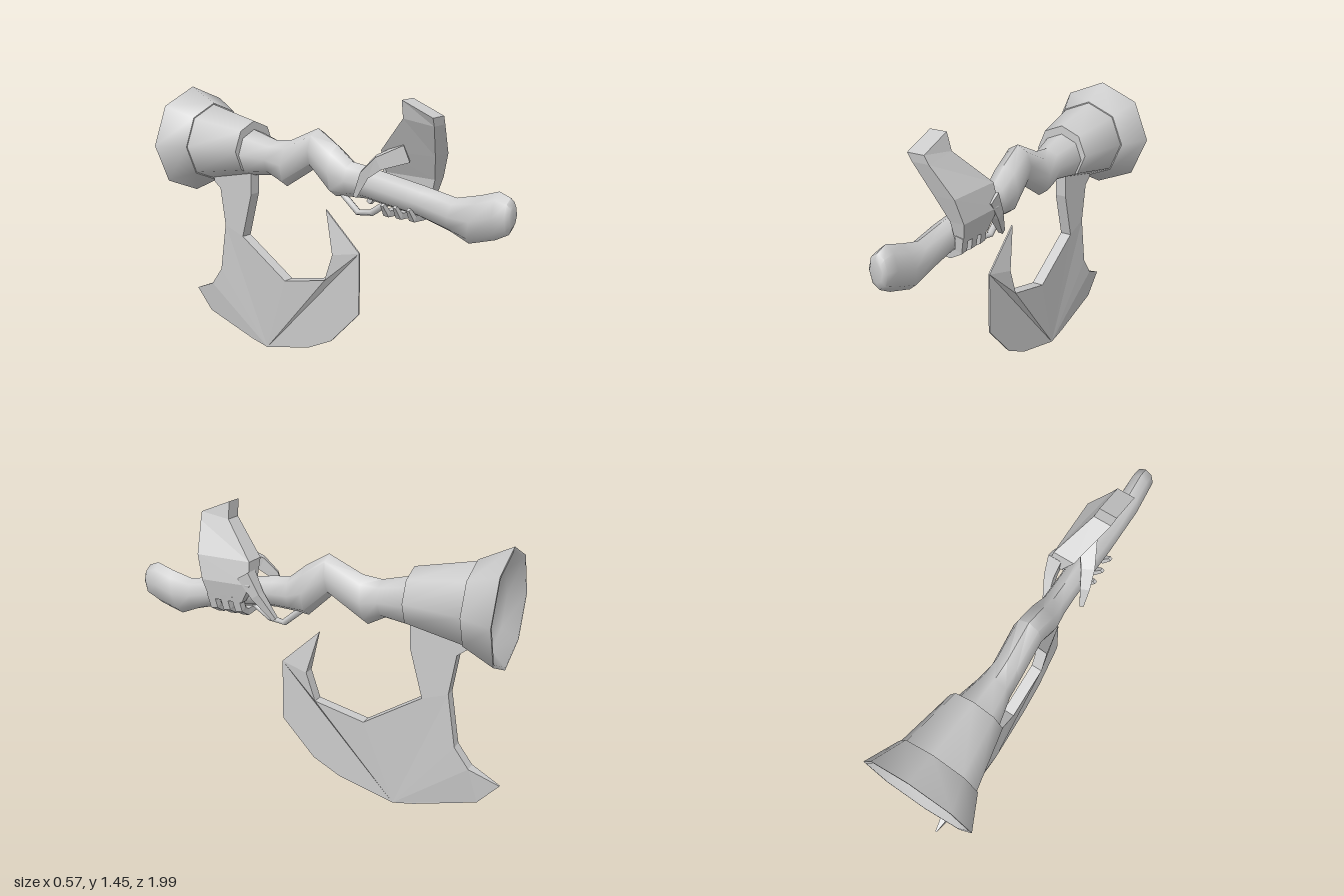
import * as THREE from 'three';
import { toCreasedNormals } from 'three/addons/utils/BufferGeometryUtils.js';

const smooth = new THREE.MeshStandardMaterial({ color: 0xcccccc });
const flat = new THREE.MeshStandardMaterial({ color: 0xcccccc, flatShading: true });

// Skin a list of equal-length rings of [x, y, z] and cap both ends.
function loft(rings) {
  const n = rings[0].length, last = (rings.length - 1) * n, index = [];
  for (let i = 0; i < rings.length - 1; i++) {
    for (let j = 0; j < n; j++) {
      const k = (j + 1) % n;
      const a = i * n + j, b = i * n + k, c = a + n, d = b + n;
      index.push(a, b, c, b, d, c);
    }
  }
  for (let j = 1; j < n - 1; j++) index.push(0, j + 1, j, last, last + j, last + j + 1);
  const g = new THREE.BufferGeometry();
  g.setAttribute('position', new THREE.Float32BufferAttribute(rings.flat(2), 3));
  g.setIndex(index);
  g.computeVertexNormals();
  return g;
}

// Low-poly bar through points, with closed ends.
function bar(points, radius, sides) {
  const curve = new THREE.CurvePath();
  const v = points.map(p => new THREE.Vector3(...p));
  for (let i = 0; i < v.length - 1; i++) curve.add(new THREE.LineCurve3(v[i], v[i + 1]));
  const spline = new THREE.CatmullRomCurve3(v);
  const frames = spline.computeFrenetFrames(v.length - 1);
  return loft(v.map((p, i) => Array.from({ length: sides }, (_, j) => {
    const a = -((j + 0.5) / sides) * Math.PI * 2;
    const r = Array.isArray(radius) ? radius[i] : radius;
    return p.clone().addScaledVector(frames.normals[i], -r * Math.cos(a))
      .addScaledVector(frames.binormals[i], -r * Math.sin(a)).toArray();
  }).reverse()));
}

// Eight-sided turned part along the barrel axis; profile is [radius, -z].
function turned(profile) {
  const g = new THREE.LatheGeometry(profile.map(p => new THREE.Vector2(...p)), 8);
  g.rotateX(-Math.PI / 2).translate(0, 1.11, 0);
  return toCreasedNormals(g, 0.82);
}

// Plate in the z-y plane; each outline point is [z, y, half thickness].
function blade(outline) {
  const n = outline.length;
  const index = [];
  const contour = outline.map(([z, y]) => new THREE.Vector2(-z, y));
  for (const [a, b, c] of THREE.ShapeUtils.triangulateShape(contour, [])) {
    index.push(a, b, c, a + n, c + n, b + n);
  }
  for (let i = 0; i < n; i++) {
    const j = (i + 1) % n;
    index.push(i, i + n, j + n, i, j + n, j);
  }
  const side = s => outline.map(([z, y, h]) => [s * h, y, z]);
  const g = new THREE.BufferGeometry();
  g.setAttribute('position', new THREE.Float32BufferAttribute([...side(1), ...side(-1)].flat(), 3));
  g.setIndex(index);
  g.computeVertexNormals();
  return g;
}

export function createModel() {
  const model = new THREE.Group();
  const add = (name, geometry, material, parent = model) => {
    const mesh = new THREE.Mesh(geometry, material);
    mesh.name = name;
    parent.add(mesh);
  };

  // Crooked stock: [top z, top y, bottom z, bottom y, half width]
  const stock = [
    [1.0, 1.04, 1.0, 0.94, 0.035],
    [0.985, 1.07, 0.985, 0.905, 0.05],
    [0.93, 1.09, 0.92, 0.87, 0.055],
    [0.84, 1.06, 0.79, 0.83, 0.06],
    [0.72, 1.03, 0.69, 0.87, 0.06],
    [0.55, 1.06, 0.54, 0.91, 0.066],
    [0.22, 1.11, 0.22, 0.95, 0.062],
    [0.13, 1.12, 0.12, 0.945, 0.064],
    [0.04, 1.19, 0.03, 0.935, 0.078],
    [-0.08, 1.26, -0.1, 1.055, 0.075],
    [-0.26, 1.18, -0.29, 0.937, 0.075],
    [-0.36, 1.17, -0.38, 0.985, 0.085],
    [-0.52, 1.21, -0.52, 0.965, 0.122],
  ];
  const stockRings = stock.map(([zt, yt, zb, yb, w]) => Array.from({ length: 8 }, (_, j) => {
    const a = (j / 8) * Math.PI * 2, t = (1 - Math.cos(a)) / 2;
    return [w * Math.sin(a), yt + (yb - yt) * t, zt + (zb - zt) * t];
  }));
  add('stock', toCreasedNormals(loft(stockRings), 0.95), smooth);

  // Barrel sleeve and flared, recessed muzzle
  add('barrelSleeve', turned([[0, 0.515], [0.143, 0.515], [0.205, 0.815]]), smooth);
  add('muzzle', turned([[0.19, 0.81], [0.21, 0.81], [0.287, 0.97], [0.272, 0.97], [0.2, 0.9], [0, 0.9]]), smooth);

  // Axe blade: sharp along the outer curve, thick on the inner side and neck
  const edge = 0.004, thick = 0.03;
  add('axeBlade', blade([
    [-0.03, 0.855, edge], [0.18, 0.665, edge], [0.18, 0.345, edge], [0, 0.155, edge],
    [-0.15, 0.08, edge], [-0.45, 0.003, edge], [-0.56, 0.025, edge], [-0.885, 0.12, edge],
    [-0.99, 0.235, edge], [-0.84, 0.3, thick], [-0.765, 0.4, thick], [-0.72, 0.665, thick],
    [-0.75, 0.865, thick], [-0.795, 0.9, thick], [-0.8, 0.96, thick], [-0.515, 1.0, thick],
    [-0.52, 0.865, thick], [-0.59, 0.62, thick], [-0.29, 0.43, thick], [-0.02, 0.49, thick],
    [0.03, 0.635, thick],
  ]), flat);

  // Gripping hand
  const hand = new THREE.Group();
  hand.name = 'hand';
  model.add(hand);

  // Wrist and palm: [front z, front y, back z, back y, x, half thickness]
  const palm = [
    [0.645, 1.39, 0.48, 1.455, -0.055, 0.045],
    [0.64, 1.35, 0.475, 1.37, -0.035, 0.045],
    [0.6, 1.2, 0.3, 1.195, 0.055, 0.055],
    [0.565, 1.08, 0.29, 1.08, 0.095, 0.037],
    [0.54, 0.98, 0.35, 0.98, 0.088, 0.022],
  ].map(([zf, yf, zb, yb, x, h]) => [[x + h, yb, zb], [x + h, yf, zf], [x - h, yf, zf], [x - h, yb, zb]]);
  add('palm', loft(palm), flat, hand);

  // Three fingers curled under the stock
  for (const z of [0.375, 0.445, 0.52]) {
    add('finger', bar([
      [0.095, 1.01, z + 0.01], [0.08, 0.935, z], [0.03, 0.908, z], [-0.05, 0.912, z], [-0.085, 0.96, z],
    ], [0.03, 0.028, 0.024, 0.022, 0.012], 4), flat, hand);
  }

  // Index finger reaching for the trigger, thumb over the far side
  add('indexFinger', bar([[0.1, 1.13, 0.325], [0.1, 1.03, 0.265], [0.075, 0.91, 0.18]], [0.05, 0.036, 0.017], 4), flat, hand);
  add('thumb', bar([[0.01, 1.2, 0.44], [-0.06, 1.15, 0.33], [-0.085, 1.09, 0.27], [-0.1, 0.98, 0.225]],
    [0.06, 0.045, 0.032, 0.014], 4), flat, hand);

  // Trigger guard loop
  add('triggerGuard', bar([[0, 0.96, 0.36], [0, 0.885, 0.25], [0, 0.873, 0.17], [0, 0.955, 0.07]], 0.017, 6), smooth);

  return model;
}
